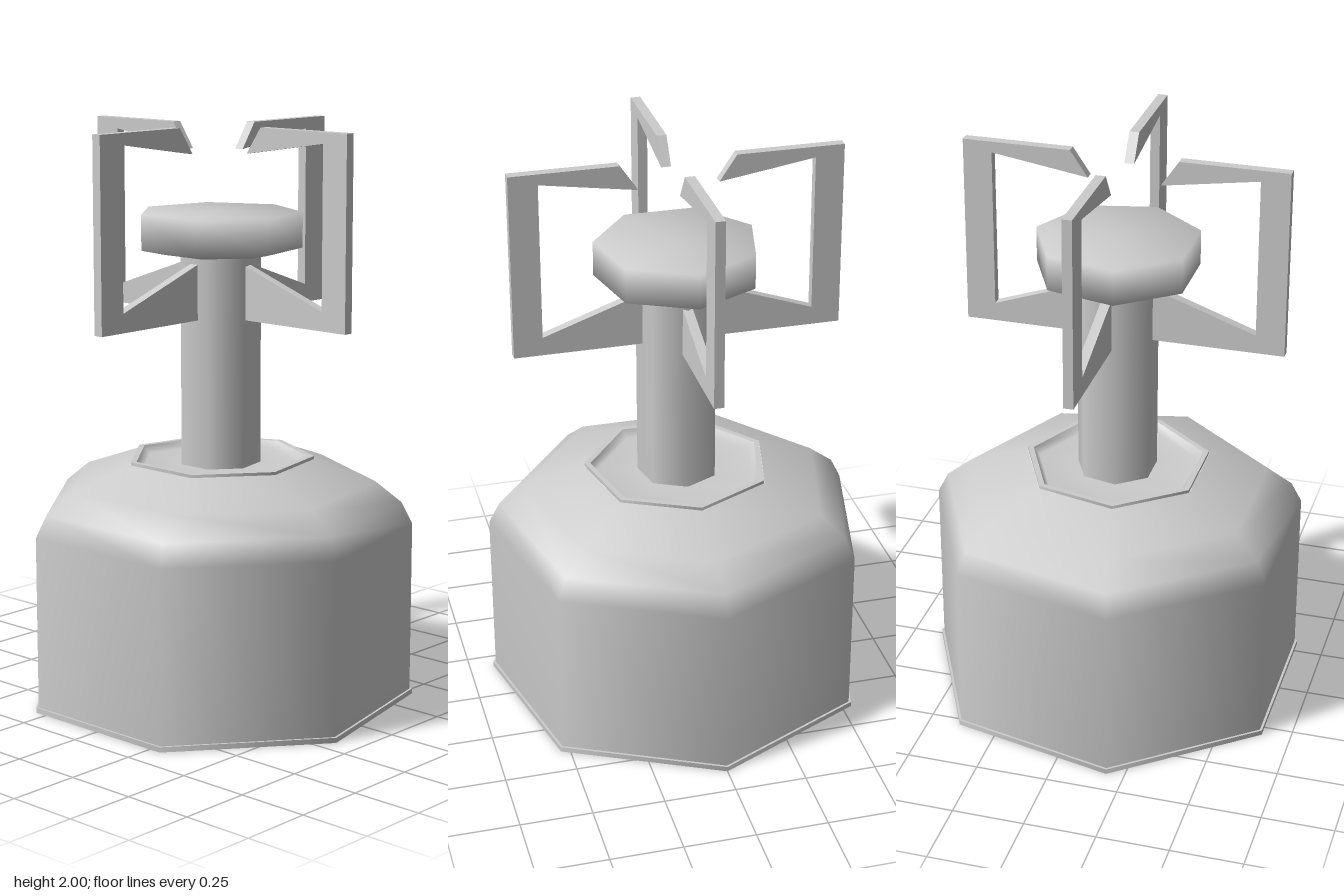
import * as THREE from 'three';

const SIDES = 7;
const AXIS_X = -0.036;
const material = new THREE.MeshStandardMaterial({ color: 0xcccccc });

// Seven-sided turned part with one corner toward +x; profile is [radius, y] from bottom to top
function turned(name, profile) {
  const points = profile.map(([r, y]) => new THREE.Vector2(r, y));
  const mesh = new THREE.Mesh(new THREE.LatheGeometry(points, SIDES, Math.PI / 2), material);
  mesh.name = name;
  return mesh;
}

// Flat bracket: u runs inward from the outer edge
function bracket(name, outer, angle) {
  const outline = [
    [0, 1.345], [0.5, 1.345], [0.5, 1.55], [0.455, 1.535], [0.1, 1.41],
    [0.1, 1.962], [0.433, 1.91], [0.372, 2], [0, 2],
  ];
  const shape = new THREE.Shape(outline.map(([u, y]) => new THREE.Vector2(outer - u, y)));
  const geometry = new THREE.ExtrudeGeometry(shape, { depth: 0.034, bevelEnabled: false });
  geometry.translate(0, 0, -0.017);
  const mesh = new THREE.Mesh(geometry, material);
  mesh.name = name;
  mesh.rotation.y = angle;
  return mesh;
}

export function createModel() {
  const model = new THREE.Group();
  model.name = 'finnedVessel';
  model.position.x = AXIS_X;

  // Thin foot plate
  const foot = new THREE.Mesh(
    new THREE.CylinderGeometry(0.681, 0.681, 0.018, SIDES, 1, false, Math.PI / 2), material);
  foot.name = 'footPlate';
  foot.position.y = 0.009;
  model.add(foot);

  // Drum with rounded shoulder
  model.add(turned('body', [
    [0.672, 0.015], [0.672, 0.62], [0.634, 0.695], [0.543, 0.768], [0.33, 0.845],
  ]));

  // Raised collar around a shallow recess
  model.add(turned('collarWall', [[0.328, 0.843], [0.328, 0.855]]));
  model.add(turned('collarTop', [[0.328, 0.855], [0.307, 0.855]]));
  model.add(turned('recess', [[0.307, 0.855], [0.285, 0.828], [0.13, 0.833]]));

  // Neck
  model.add(turned('neck', [[0.142, 0.82], [0.142, 1.57]]));

  // Solid head with a softened lower edge
  model.add(turned('head', [
    [0.13, 1.565], [0.2, 1.565], [0.284, 1.583], [0.284, 1.705], [0, 1.705],
  ]));

  // Four brackets standing around the head
  const outers = [['left', 0.531], ['back', 0.572], ['right', 0.584], ['front', 0.572]];
  outers.forEach(([side, outer], i) => {
    model.add(bracket(side + 'Bracket', outer, i * Math.PI / 2));
  });

  const root = new THREE.Group();
  root.add(model);
  return root;
}
